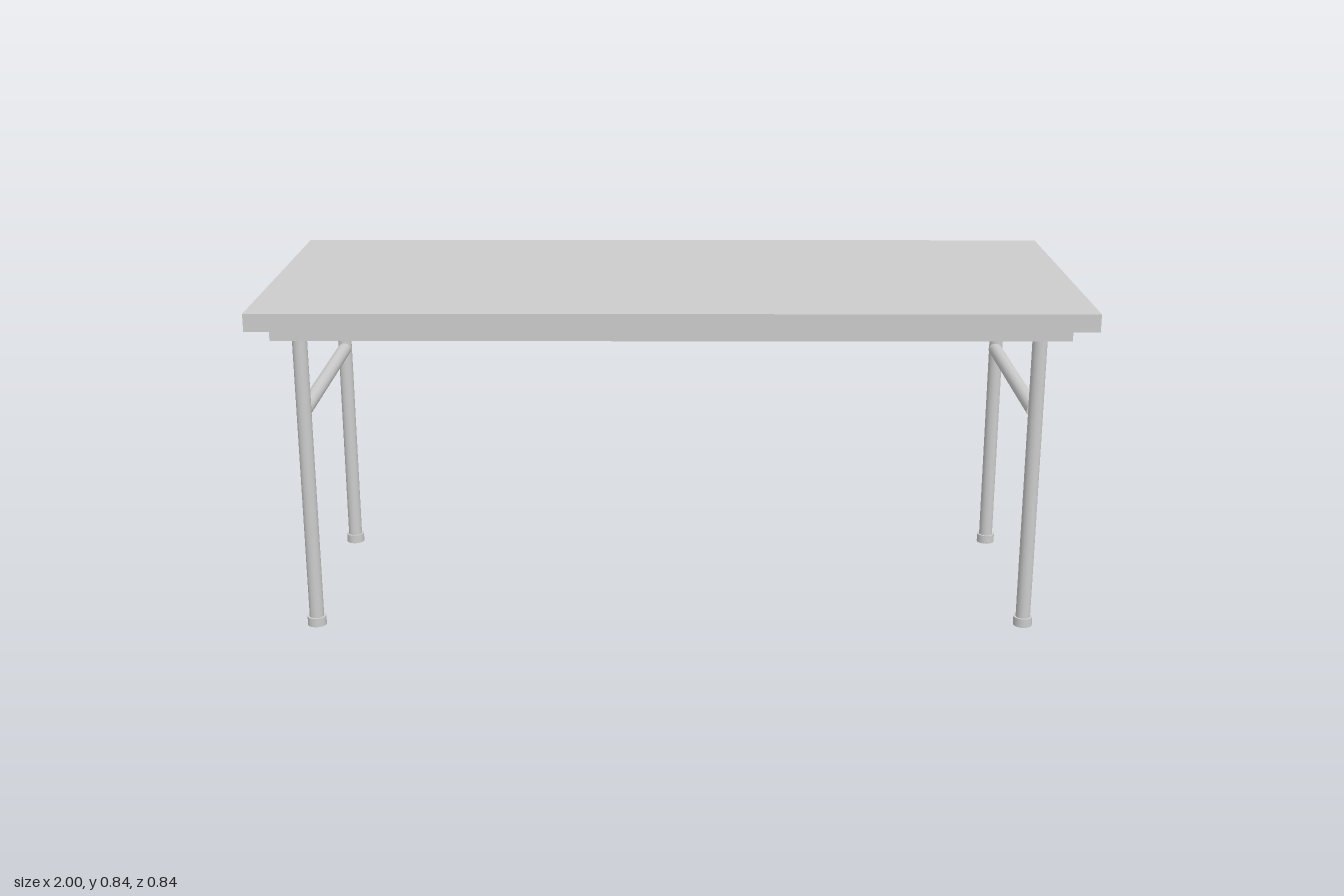
import * as THREE from 'three';

const material = new THREE.MeshStandardMaterial({ color: 0xcccccc });

function addMesh(parent, name, geometry, x, y, z) {
  const mesh = new THREE.Mesh(geometry, material);
  mesh.name = name;
  mesh.position.set(x, y, z);
  parent.add(mesh);
  return mesh;
}

export function createModel() {
  const table = new THREE.Group();
  table.name = 'table';

  // Top board with a slightly smaller slab beneath it
  addMesh(table, 'tableTop', new THREE.BoxGeometry(2, 0.043, 0.844), 0, 0.8165, 0);
  addMesh(table, 'underFrame', new THREE.BoxGeometry(1.897, 0.034, 0.752), -0.002, 0.778, 0.001);

  const legGeometry = new THREE.CylinderGeometry(0.018, 0.018, 0.745, 32);
  const footGeometry = new THREE.CylinderGeometry(0.0235, 0.0235, 0.023, 32);
  const barGeometry = new THREE.CylinderGeometry(0.0175, 0.0175, 0.572, 32);

  // One leg frame at each end: two legs with feet, joined by a crossbar
  for (const [side, x, barX] of [['left', 0.886, 0.883], ['right', -0.897, -0.897]]) {
    const frame = new THREE.Group();
    frame.name = `${side}LegFrame`;
    table.add(frame);
    for (const [end, z] of [['Front', 0.294], ['Back', -0.292]]) {
      addMesh(frame, `${side}${end}Leg`, legGeometry, x, 0.3925, z);
      addMesh(frame, `${side}${end}Foot`, footGeometry, x, 0.0115, z);
    }
    // The crossbar rises very slightly toward the back
    const bar = addMesh(frame, `${side}Crossbar`, barGeometry, barX, 0.563, 0.001);
    bar.rotation.x = Math.PI / 2 + 0.004;
  }
  return table;
}
